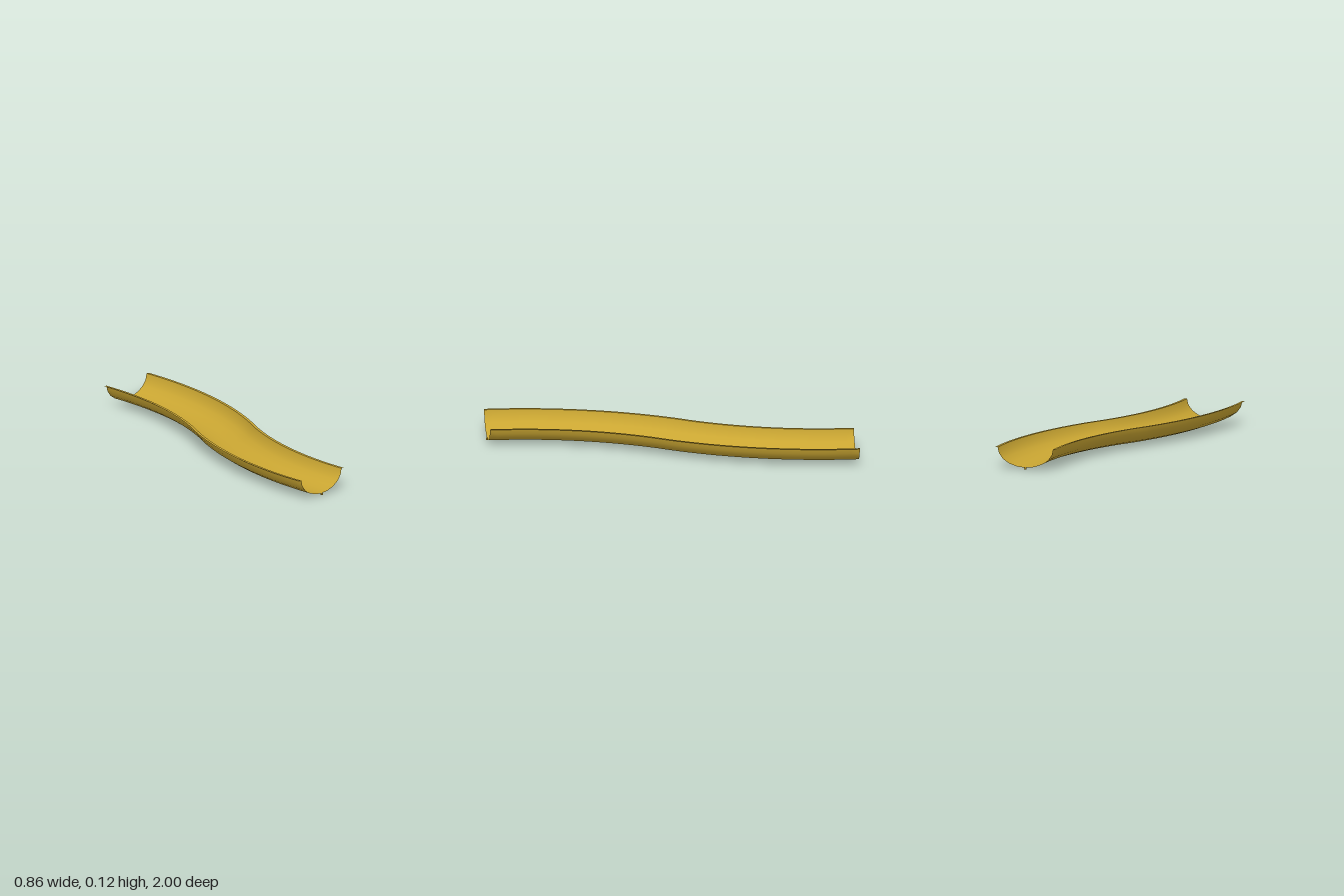
import * as THREE from 'three';

const RADIUS = 2.07;          // bend radius of each half of the S
const HALF_LENGTH = 0.994;
const OFFSET = 0.255;         // sideways shift of each end
const STEPS = 24;             // rings per bend
const HALF_WIDTH = 0.158, DEPTH = 0.108, RIM = 0.117, LIP = 0.174;

// Centre line: two equal arcs meeting at the origin, running from front to back
function pathRings() {
  const sweep = Math.asin(HALF_LENGTH / RADIUS);
  const front = [];
  for (let i = 0; i <= STEPS; i++) {
    const a = (sweep * i) / STEPS;
    front.push({
      x: -OFFSET + RADIUS * (1 - Math.cos(a)),
      z: HALF_LENGTH - RADIUS * Math.sin(a),
      a,
    });
  }
  front[STEPS].x = 0;
  front[STEPS].z = 0;
  const back = front.slice(0, STEPS).reverse().map(p => ({ x: -p.x, z: -p.z, a: p.a }));
  return [...front, ...back];
}

// Sweep an open cross-section of [side, height] points along the path
function sweepProfile(profile) {
  const rings = pathRings(), n = profile.length;
  const positions = [], index = [];
  rings.forEach(({ x, z, a }, r) => {
    for (const [side, y] of profile) {
      positions.push(x + side * Math.cos(a), y, z + side * Math.sin(a));
    }
    if (r === 0) return;
    for (let j = 0; j < n - 1; j++) {
      const p = (r - 1) * n + j, q = r * n + j;
      index.push(p, p + 1, q, q, p + 1, q + 1);
    }
  });
  const geometry = new THREE.BufferGeometry();
  geometry.setAttribute('position', new THREE.Float32BufferAttribute(positions, 3));
  geometry.setIndex(index);
  geometry.computeVertexNormals();
  return geometry;
}

export function createModel() {
  const group = new THREE.Group();
  group.name = 'curvedSlide';
  const gold = new THREE.MeshStandardMaterial({ color: 0xcaa632, side: THREE.DoubleSide });
  gold.name = 'gold';

  const add = (name, geometry) => {
    const mesh = new THREE.Mesh(geometry, gold);
    mesh.name = name;
    group.add(mesh);
    return mesh;
  };

  // Half-elliptical trough
  const trough = [];
  for (let i = 0; i <= 10; i++) {
    const t = (Math.PI * i) / 10;
    trough.push([-HALF_WIDTH * Math.cos(t), RIM - DEPTH * Math.sin(t)]);
  }
  add('trough', sweepProfile(trough));

  // Flat lips along both rims
  add('rightLip', sweepProfile([[-LIP, RIM], [-HALF_WIDTH, RIM]]));
  add('leftLip', sweepProfile([[HALF_WIDTH, RIM], [LIP, RIM]]));

  // Small connecting pegs under each end
  for (const s of [1, -1]) {
    add(s > 0 ? 'frontPeg' : 'backPeg', new THREE.BoxGeometry(0.01, 0.01, 0.01))
      .position.set(-s * OFFSET, 0.005, s * 0.995);
  }
  return group;
}
